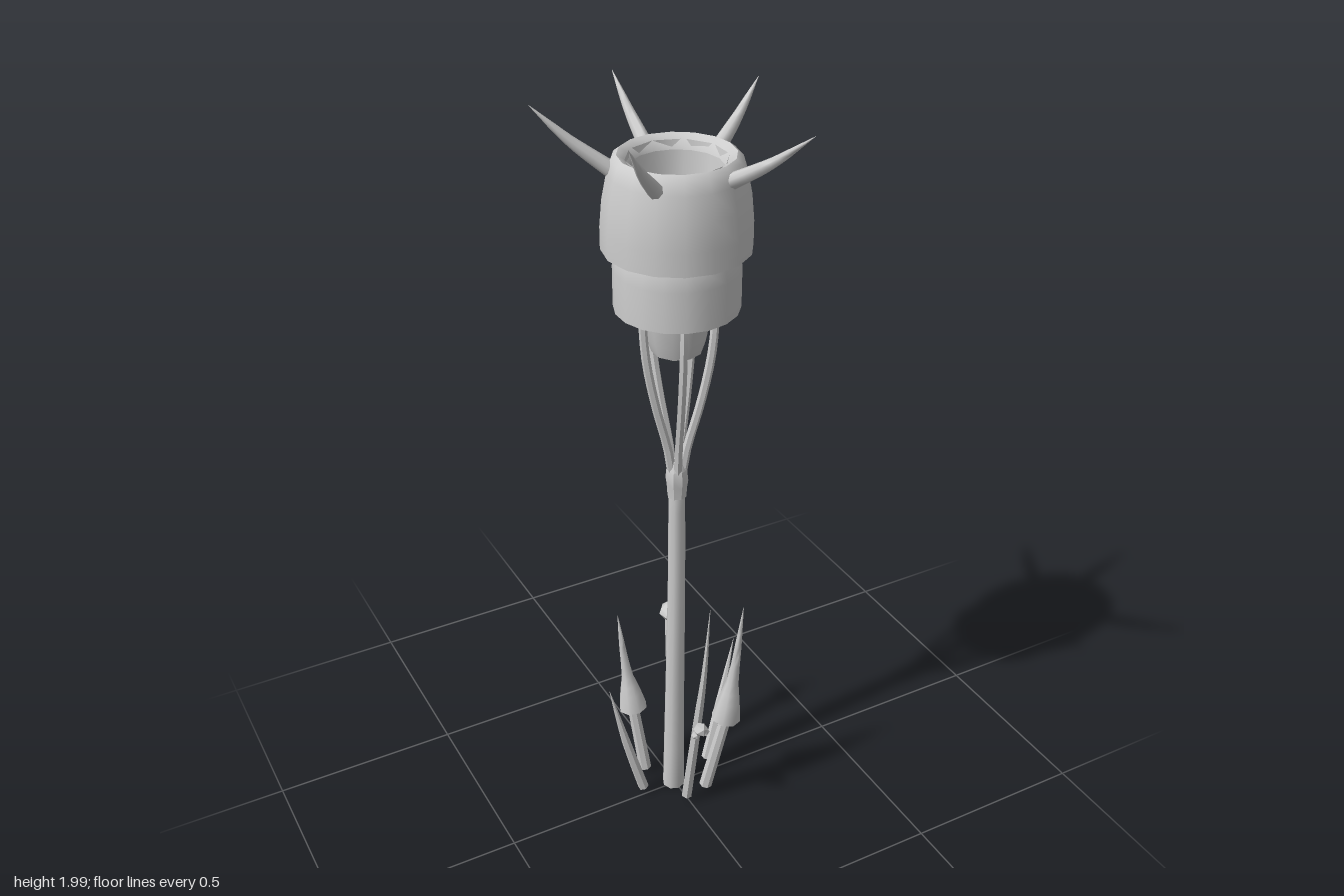
import * as THREE from 'three';
import { toCreasedNormals } from 'three/addons/utils/BufferGeometryUtils.js';

const V = (p) => new THREE.Vector3(...p);

// Tapered, capped tube along a curve; radii are spread evenly along its length
function taper(points, radii, sides = 8, steps = 14) {
  const curve = new THREE.CatmullRomCurve3(points.map(V));
  const geo = new THREE.TubeGeometry(curve, steps, 1, sides);
  const pos = geo.attributes.position;
  const start = curve.getPointAt(0);
  const v = new THREE.Vector3();
  for (let i = 0; i <= steps; i++) {
    const c = curve.getPointAt(i / steps);
    const f = (i / steps) * (radii.length - 1);
    const k = Math.min(Math.floor(f), radii.length - 2);
    // ring 0 closes the base, ring 1 is its edge
    const r = i === 0 ? 0 : i === 1 ? radii[0] : THREE.MathUtils.lerp(radii[k], radii[k + 1], f - k);
    for (let j = 0; j <= sides; j++) {
      const n = i * (sides + 1) + j;
      v.fromBufferAttribute(pos, n).sub(c).multiplyScalar(r).add(i === 1 ? start : c);
      pos.setXYZ(n, v.x, v.y, v.z);
    }
  }
  return toCreasedNormals(geo, 0.8);
}

function lathe(profile, sides) {
  const geo = new THREE.LatheGeometry(profile.map((p) => new THREE.Vector2(...p)), sides);
  return toCreasedNormals(geo, 0.75);
}

export function createModel() {
  const model = new THREE.Group();
  const grey = new THREE.MeshStandardMaterial({ color: 0xcccccc, side: THREE.DoubleSide });
  grey.name = 'plain grey';
  const add = (name, geo, parent = model) => {
    const mesh = new THREE.Mesh(geo, grey);
    mesh.name = name;
    parent.add(mesh);
    return mesh;
  };

  // Main stalk and the knot where the branches split
  add('stalk', taper([[-0.003, 0, -0.005], [0.002, 0.35, -0.006], [0.008, 0.7, -0.008], [0.01, 1.0, -0.01]],
    [0.031, 0.027, 0.024, 0.022], 8));

  const flower = new THREE.Group();
  flower.name = 'flower';
  flower.position.set(0.01, 0, -0.01);
  model.add(flower);
  add('knot', lathe([[0, 0.97], [0.025, 0.97], [0.027, 1.0], [0.03, 1.02], [0.027, 1.05], [0.018, 1.075], [0, 1.08]], 8), flower);

  // Five bowed branches holding the cup, tips poking through its wall
  for (let i = 0; i < 5; i++) {
    const a = Math.PI + (i * Math.PI * 2) / 5;
    const at = (r, y) => [Math.cos(a) * r, y, Math.sin(a) * r];
    add('branch', taper([at(0.012, 1.03), at(0.025, 1.11), at(0.06, 1.25), at(0.084, 1.38), at(0.092, 1.5), at(0.088, 1.58)],
      [0.012, 0.011, 0.011, 0.011, 0.01, 0.004], 6), flower);
  }

  // Cup, skirt band and domed upper band
  add('innerCup', lathe([[0, 1.375], [0.04, 1.377], [0.062, 1.385], [0.074, 1.42], [0.088, 1.52],
    [0.097, 1.65], [0.104, 1.78], [0.119, 1.862]], 10), flower);
  add('lowerBand', lathe([[0.144, 1.5], [0.151, 1.5], [0.151, 1.6], [0.147, 1.635], [0.138, 1.66], [0.12, 1.68]], 18), flower);
  add('upperBand', lathe([[0.168, 1.655], [0.177, 1.65], [0.177, 1.705], [0.171, 1.77], [0.159, 1.83],
    [0.149, 1.862], [0.136, 1.872], [0.119, 1.862], [0.108, 1.84]], 16), flower);

  // Rim spikes: base and tip of each
  const spikes = [
    [0.01, -0.158, 0.01, -0.329, 1.97],
    [0.148, -0.07, 0.286, -0.125, 1.97],
    [0.072, 0.122, 0.15, 0.325, 1.99],
    [-0.098, 0.092, -0.225, 0.221, 1.99],
    [-0.125, -0.07, -0.287, -0.134, 1.99],
  ];
  for (const [bx, bz, tx, tz, ty] of spikes) {
    const mid = [(bx + tx) / 2, 1.84 + (ty - 1.84) * 0.44, (bz + tz) / 2];
    add('rimSpike', taper([[bx, 1.838, bz], mid, [tx, ty, tz]], [0.019, 0.015, 0.009, 0.0005], 8, 10));
  }

  // Plain pointed blades around the foot
  const blade = (pts) => add('blade', taper(pts, [0.015, 0.014, 0.012, 0.007, 0.0005], 6));
  blade([[-0.097, 0.02, -0.01], [-0.145, 0.2, -0.013], [-0.19, 0.4, -0.02]]);
  blade([[0.12, 0.02, -0.03], [0.165, 0.2, -0.038], [0.21, 0.41, -0.046]]);
  blade([[-0.005, 0.02, 0.078], [0, 0.3, 0.122], [0.005, 0.5, 0.15], [0.01, 0.725, 0.168]]);

  // Stalks topped with flared pointed caps
  const capped = (base, neck, mid, tip) => {
    add('shootStem', taper([base, neck], [0.018, 0.017, 0.016], 7, 4));
    add('shootCap', taper([neck, mid, tip], [0.04, 0.03, 0.017, 0.012, 0.009, 0.005, 0.0005], 8, 12));
  };
  capped([-0.055, 0.02, -0.08], [-0.08, 0.24, -0.1], [-0.095, 0.4, -0.118], [-0.107, 0.55, -0.13]);
  capped([0.063, 0.02, 0.065], [0.1, 0.285, 0.107], [0.115, 0.46, 0.122], [0.128, 0.67, 0.137]);

  // Shoot with a faceted bulb and thin point
  add('bulbStem', taper([[0.045, 0.02, -0.09], [0.056, 0.25, -0.118], [0.066, 0.48, -0.143]], [0.016, 0.018, 0.019], 7, 6));
  const bulb = add('bulb', lathe([[0, -0.026], [0.018, -0.024], [0.034, -0.002], [0.03, 0.012], [0.016, 0.026], [0, 0.028]], 7));
  bulb.position.set(0.066, 0.492, -0.145);
  add('bulbPoint', taper([[0.067, 0.5, -0.146], [0.075, 0.63, -0.152]], [0.012, 0.007, 0.0005], 6, 5));

  // Small faceted buds on the front blade
  for (const [x, y, z, r] of [[-0.008, 0.325, 0.158, 0.02], [0.008, 0.305, 0.148, 0.015], [-0.014, 0.295, 0.142, 0.012]]) {
    add('bud', new THREE.IcosahedronGeometry(r, 0)).position.set(x, y, z);
  }
  add('budStem', taper([[0, 0.26, 0.116], [-0.006, 0.29, 0.14], [-0.008, 0.32, 0.156]], [0.006, 0.005, 0.004], 5, 5));

  return model;
}
